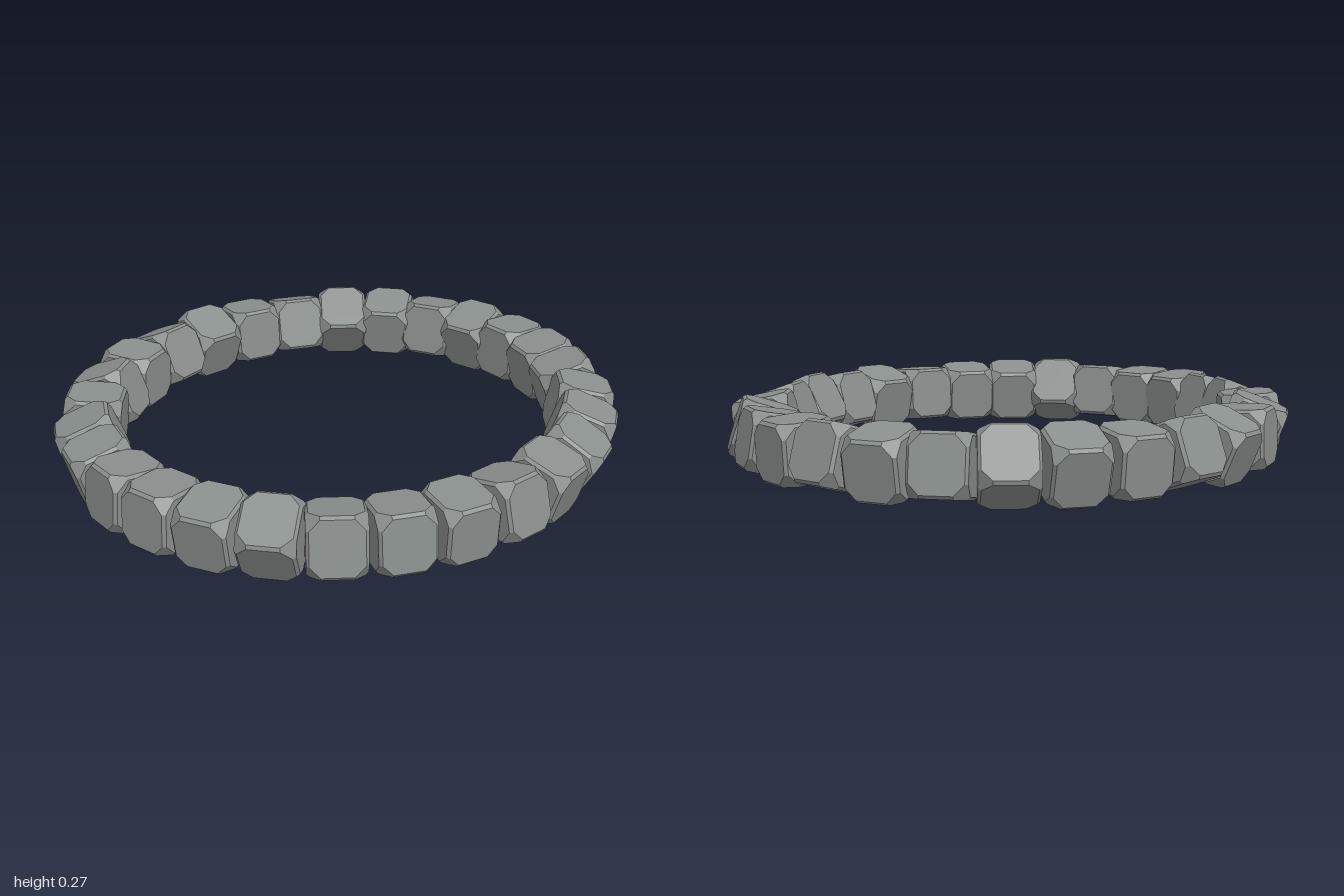
import * as THREE from 'three';
import { ConvexGeometry } from 'three/addons/geometries/ConvexGeometry.js';

// Cube bead with cut corners and finely bevelled edges
function beadGeometry(half, bevel, cut) {
  const [a, b, c] = [half, half - bevel, half - cut];
  const points = [];
  for (const [x, y, z] of [[a, b, c], [a, c, b], [b, a, c], [b, c, a], [c, a, b], [c, b, a]])
    for (const sx of [-1, 1]) for (const sy of [-1, 1]) for (const sz of [-1, 1])
      points.push(new THREE.Vector3(x * sx, y * sy, z * sz));
  return new ConvexGeometry(points);
}

export function createModel() {
  const group = new THREE.Group();
  group.name = 'beadBracelet';
  const stone = new THREE.MeshStandardMaterial({ color: 0x8a908e });
  stone.name = 'grey stone';

  const radiusX = 0.887, radiusZ = 0.83, centreY = 0.135;
  const geometry = beadGeometry(0.1, 0.01, 0.045);
  geometry.scale(0.94, 1, 1);

  // Roll of each bead on the string in degrees, clockwise from the back;
  // positive turns the outer face upward
  const rolls = [
    -23, 22, -6, -18, 35, 12, -10, 18, -3, 10, 18, -12, -20, -30,
    -17, 14, -4, 7, 12, -30, -10, 3, 5, -16, -22, 4, -20, 2,
  ];

  rolls.forEach((roll, i) => {
    const t = ((i - 0.5) / rolls.length) * Math.PI * 2;
    const bead = new THREE.Mesh(geometry, stone);
    bead.name = `bead${i + 1}`;
    bead.position.set(radiusX * Math.sin(t), centreY, -radiusZ * Math.cos(t));
    // Face along the outward normal of the oval, then roll about the string
    bead.rotation.order = 'YXZ';
    bead.rotation.y = Math.atan2(Math.sin(t) / radiusX, -Math.cos(t) / radiusZ);
    bead.rotation.x = -THREE.MathUtils.degToRad(roll);
    group.add(bead);
  });

  return group;
}
